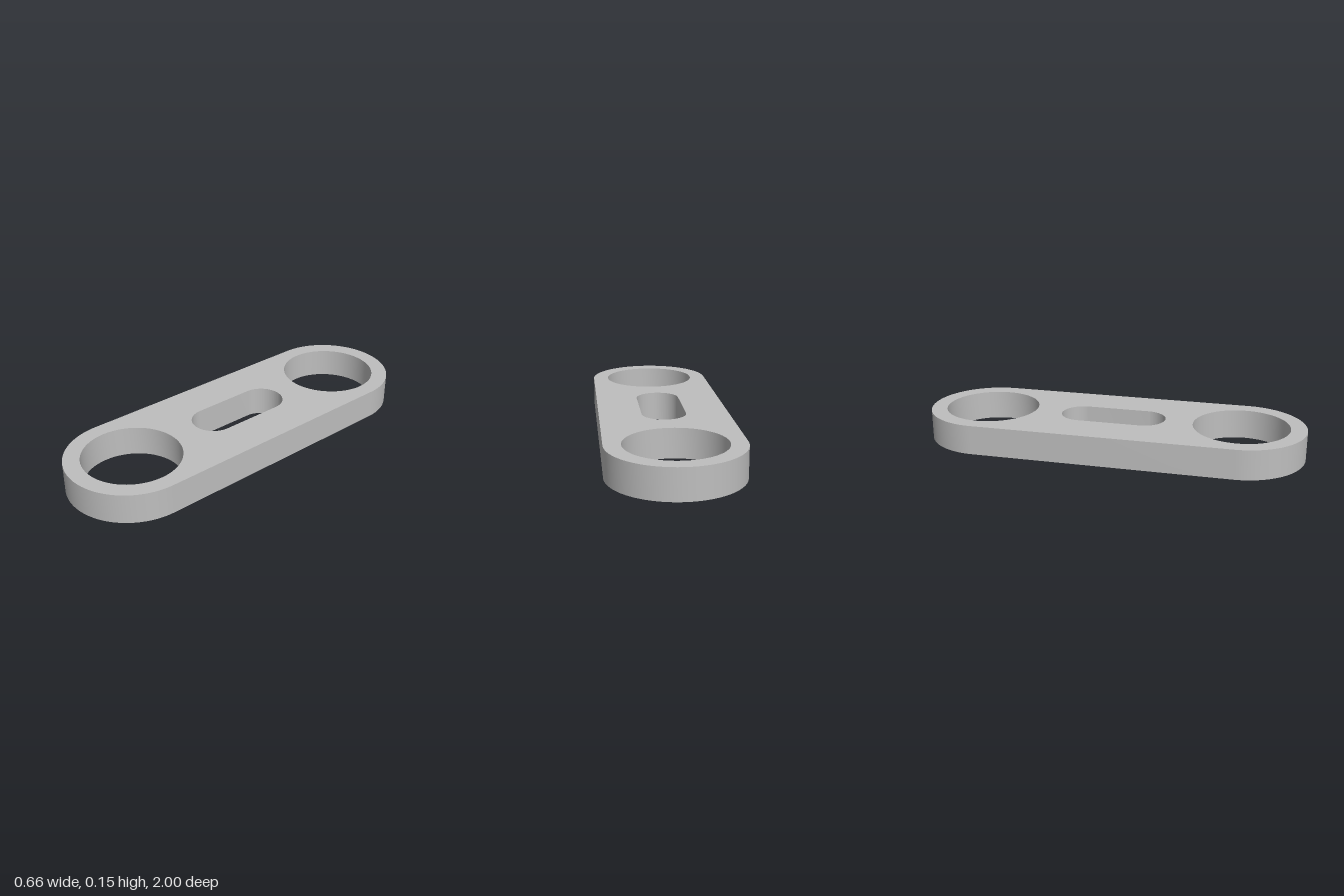
import * as THREE from 'three';
import { toCreasedNormals } from 'three/addons/utils/BufferGeometryUtils.js';

const THICKNESS = 0.154;
const END_RADIUS = 0.33;
const END_CENTRE = 0.67;
const BORE_RADIUS = 0.247;
const SLOT_RADIUS = 0.113;
const SLOT_CENTRE = 0.164;

// Traces a long rounded outline: two half circles joined by straight sides
function roundedSlot(path, radius, centre) {
  path.absarc(0, centre, radius, 0, Math.PI, false);
  path.absarc(0, -centre, radius, Math.PI, Math.PI * 2, false);
  path.closePath();
  return path;
}

export function createModel() {
  const group = new THREE.Group();
  group.name = 'linkPlate';

  const metal = new THREE.MeshStandardMaterial({ color: 0xbebebe });
  metal.name = 'light grey metal';

  // Plate outline with rounded ends
  const outline = roundedSlot(new THREE.Shape(), END_RADIUS, END_CENTRE);

  // Round bore at each end
  for (const side of [-1, 1]) {
    const bore = new THREE.Path();
    bore.absarc(0, side * END_CENTRE, BORE_RADIUS, 0, Math.PI * 2, true);
    outline.holes.push(bore);
  }

  // Slot through the middle
  outline.holes.push(roundedSlot(new THREE.Path(), SLOT_RADIUS, SLOT_CENTRE));

  // Extrude upward, smooth around the curves and sharp at the rims
  const extruded = new THREE.ExtrudeGeometry(outline, {
    depth: THICKNESS,
    bevelEnabled: false,
    curveSegments: 32,
  });
  extruded.rotateX(-Math.PI / 2);

  const plate = new THREE.Mesh(toCreasedNormals(extruded, 0.5), metal);
  plate.name = 'plate';
  group.add(plate);

  return group;
}
